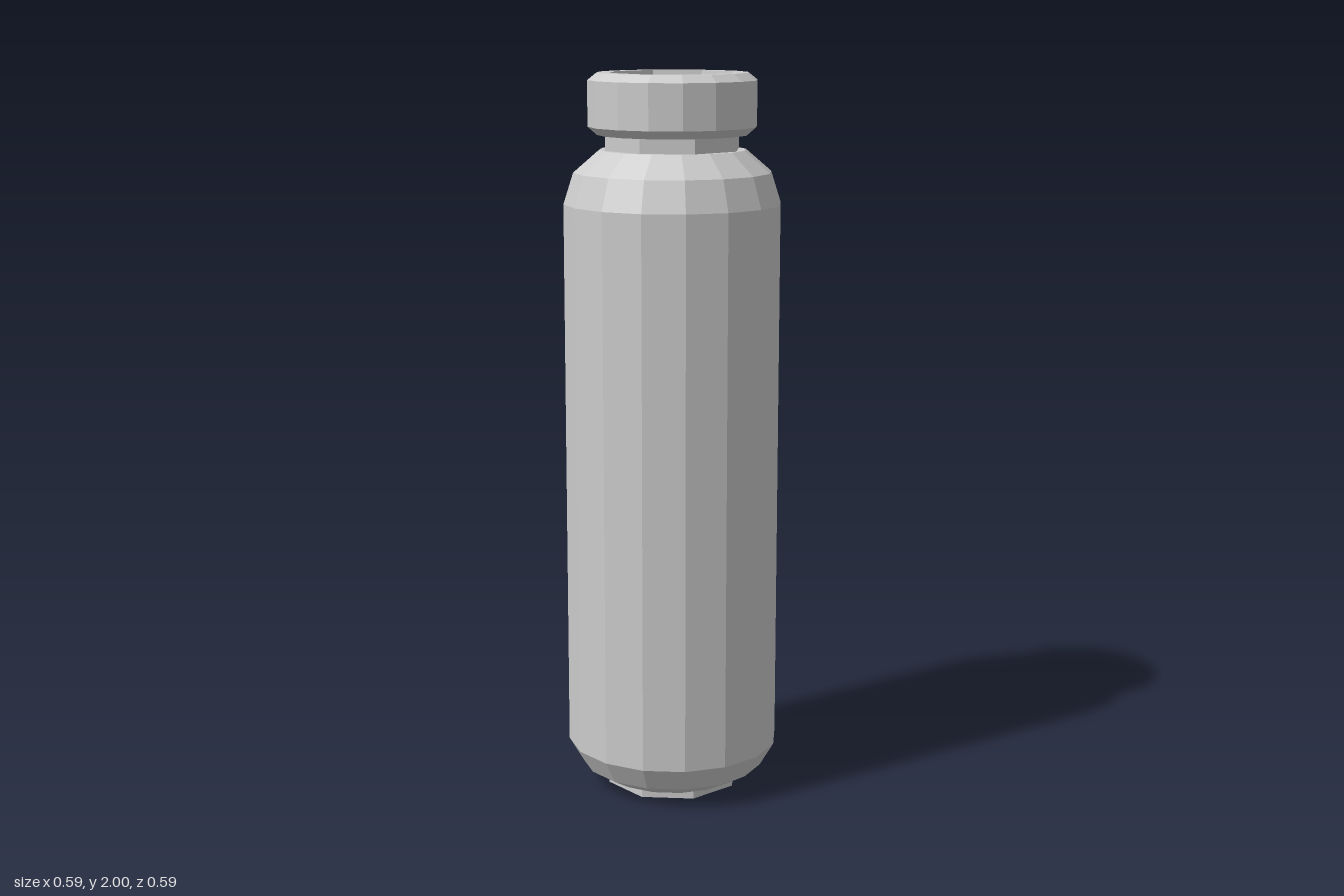
import * as THREE from 'three';

const TWIST = Math.PI / 16; // the octagonal parts are turned by half a body facet

function ringPoints(radius, sides, twist = 0) {
  return Array.from({ length: sides }, (_, i) => {
    const a = twist + (i / sides) * Math.PI * 2;
    return new THREE.Vector2(Math.sin(a) * radius, -Math.cos(a) * radius);
  });
}

export function createModel() {
  const group = new THREE.Group();
  const material = new THREE.MeshStandardMaterial({
    color: 0xcccccc, flatShading: true, side: THREE.DoubleSide,
  });

  function add(name, geometry) {
    const mesh = new THREE.Mesh(geometry, material);
    mesh.name = name;
    group.add(mesh);
    return mesh;
  }

  function turned(name, profile, sides, twist = 0) {
    const points = profile.map(([r, y]) => new THREE.Vector2(r, y));
    return add(name, new THREE.LatheGeometry(points, sides, twist));
  }

  // Sixteen-sided body with chamfered foot and shoulder
  turned('body', [
    [0.17, 0.024], [0.2, 0.024], [0.258, 0.058], [0.297, 0.125],
    [0.297, 1.65], [0.27, 1.735], [0.2, 1.795], [0.17, 1.795],
  ], 16);

  // Octagonal core, seen as the base and the neck
  turned('core', [[0, 0], [0.19, 0], [0.19, 1.9]], 8, TWIST);

  // Collar around the mouth
  turned('collar', [
    [0.17, 1.835], [0.205, 1.835], [0.23, 1.857], [0.23, 1.98], [0.205, 2],
  ], 16);

  // Flat rim with an octagonal opening
  const rim = new THREE.Shape(ringPoints(0.205, 16));
  rim.holes.push(new THREE.Path(ringPoints(0.176, 8, TWIST)));
  const rimMesh = add('rim', new THREE.ShapeGeometry(rim).rotateX(-Math.PI / 2));
  rimMesh.position.y = 2;

  // Deep tapering bore
  turned('bore', [[0.176, 2], [0, 0.02]], 8, TWIST);

  return group;
}
